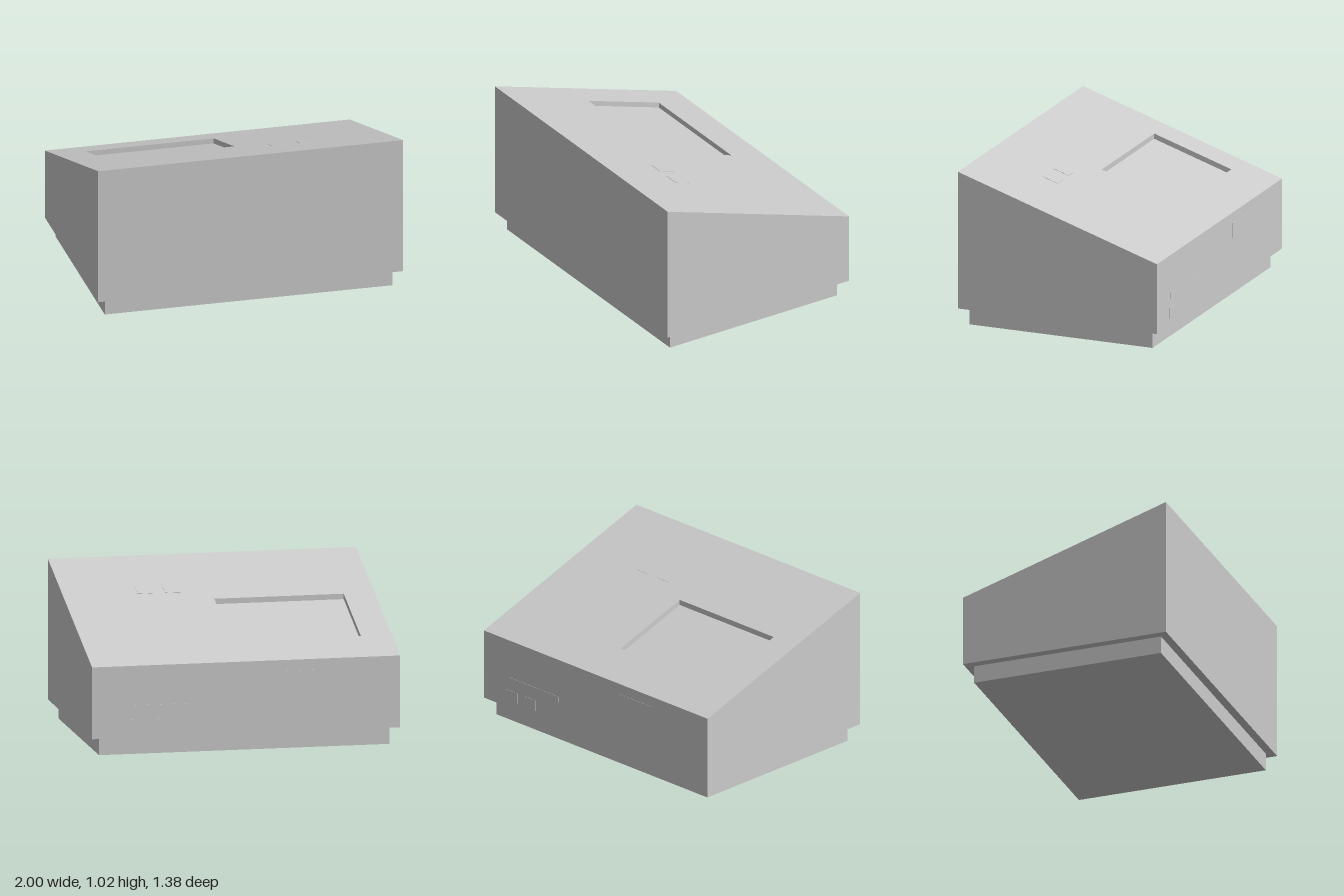
import * as THREE from 'three';

const W = 1, D = 0.69, SEAM = 0.115;
const BACK_H = 0.58, FRONT_H = 1.025;
const SLOPE = (FRONT_H - BACK_H) / (2 * D);
const topY = (z) => BACK_H + (z + D) * SLOPE;

export function createModel() {
  const group = new THREE.Group();
  const material = new THREE.MeshStandardMaterial({ color: 0xcccccc, flatShading: true });

  const add = (name, geometry, x = 0, y = 0, z = 0) => {
    const mesh = new THREE.Mesh(geometry, material);
    mesh.name = name;
    mesh.position.set(x, y, z);
    group.add(mesh);
    return mesh;
  };

  // Move each vertex's height by a rule of (y, z)
  const reshape = (geometry, rule) => {
    const p = geometry.attributes.position;
    for (let i = 0; i < p.count; i++) p.setY(i, rule(p.getY(i), p.getZ(i)));
    geometry.computeVertexNormals();
    return geometry;
  };

  const rect = (PathType, x0, x1, z0, z1) => new PathType([
    new THREE.Vector2(x0, -z1), new THREE.Vector2(x1, -z1),
    new THREE.Vector2(x1, -z0), new THREE.Vector2(x0, -z0),
  ]);

  // Inset base
  add('base', new THREE.BoxGeometry(1.886, SEAM, 1.27), 0, SEAM / 2, 0);

  // Wedge body with the screen opening; its top follows the slope
  const opening = [-0.8, 0.04, -0.425, 0.11];
  const outline = rect(THREE.Shape, -W, W, -D, D);
  outline.holes.push(rect(THREE.Path, ...opening));
  const body = new THREE.ExtrudeGeometry(outline, { depth: 1, bevelEnabled: false });
  body.rotateX(-Math.PI / 2);
  add('body', reshape(body, (y, z) => (y > 0.5 ? topY(z) : SEAM)));

  // Screen panel sunk into the opening
  const screen = new THREE.ShapeGeometry(rect(THREE.Shape, ...opening));
  screen.rotateX(-Math.PI / 2);
  add('screen', reshape(screen, (y, z) => topY(z) - 0.035));

  // Two low buttons on the sloping top
  for (const x of [0.29, 0.47]) {
    const z = 0.26;
    const button = add('button', new THREE.BoxGeometry(0.1, 0.004, 0.11), x, topY(z), z);
    button.rotation.x = -Math.atan(SLOPE);
  }

  // Thin port covers on the back: x0, x1, y0, y1
  const ports = {
    cardSlot: [0.33, 0.78, 0.285, 0.325],
    leftSocket: [0.7, 0.805, 0.165, 0.235],
    rightSocket: [0.535, 0.635, 0.165, 0.235],
    cablePort: [-0.49, -0.21, 0.41, 0.51],
  };
  for (const [name, [x0, x1, y0, y1]] of Object.entries(ports)) {
    add(name, new THREE.BoxGeometry(x1 - x0, y1 - y0, 0.004), (x0 + x1) / 2, (y0 + y1) / 2, -D);
  }

  return group;
}
